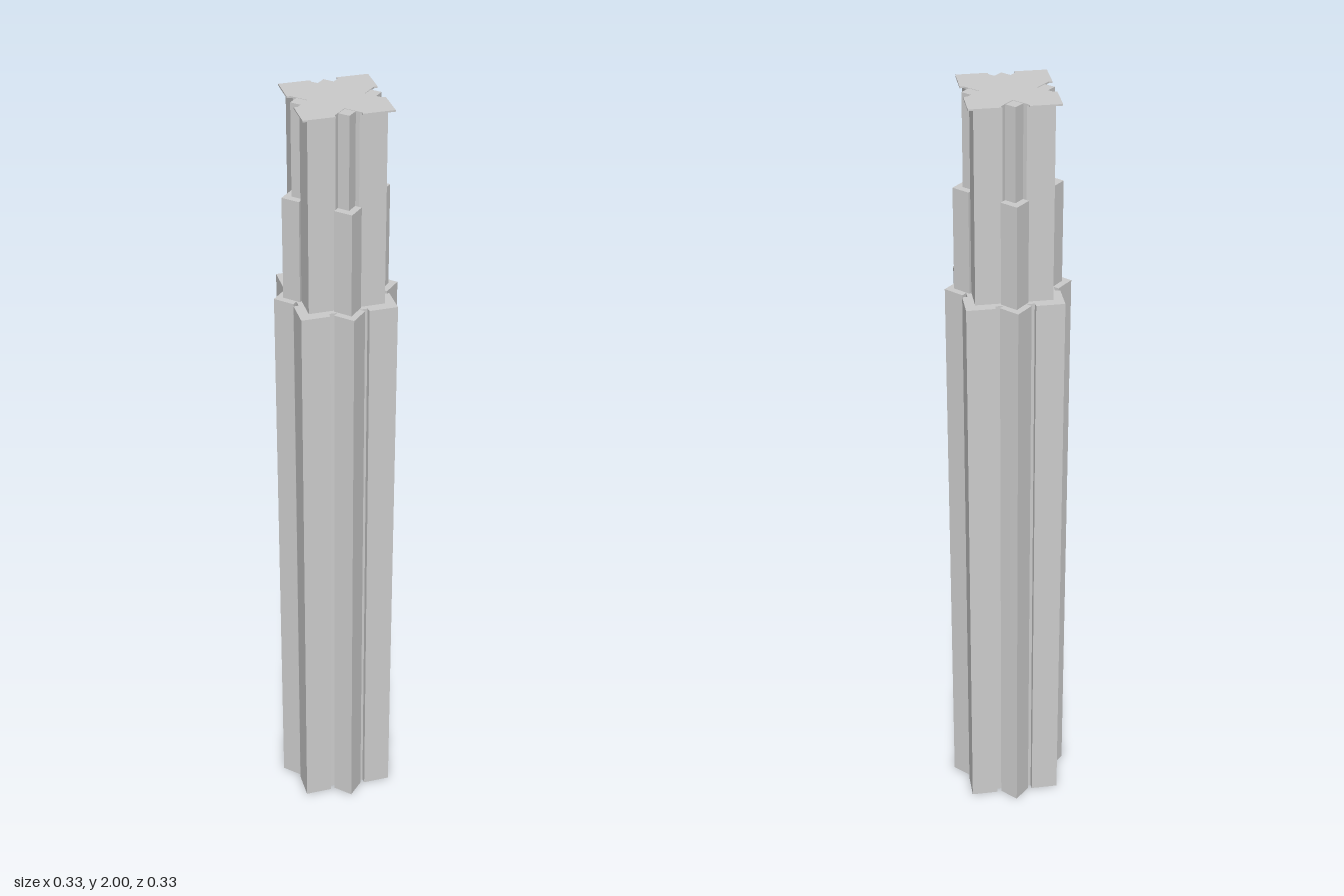
import * as THREE from 'three';

const material = new THREE.MeshStandardMaterial({ color: 0xcccccc, flatShading: true });

// Full four-fold outline from the points between the +x axis and the diagonal.
function starOutline(octant) {
  const mirrored = octant
    .filter(([a, b]) => b > 0 && Math.abs(a - b) > 1e-6)
    .map(([a, b]) => [b, a])
    .reverse();
  const quarter = [...octant, ...mirrored];
  const points = [];
  for (let i = 0; i < 4; i++) {
    const c = [1, 0, -1, 0][i], s = [0, 1, 0, -1][i];
    for (const [a, b] of quarter) points.push(new THREE.Vector2(a * c - b * s, a * s + b * c));
  }
  return new THREE.Shape(points);
}

// Upright prism between two heights.
function prism(name, octant, bottom, top) {
  const geometry = new THREE.ExtrudeGeometry(starOutline(octant), { depth: top - bottom, bevelEnabled: false });
  geometry.rotateX(-Math.PI / 2);
  geometry.translate(0, bottom, 0);
  const mesh = new THREE.Mesh(geometry, material);
  mesh.name = name;
  return mesh;
}

export function createModel() {
  const group = new THREE.Group();
  group.name = 'tower';

  // Main shaft: four pointed piers and four square corner piers
  group.add(prism('mainShaft', [
    [0.166, 0], [0.117, 0.049], [0.107, 0.041], [0.094, 0.055], [0.108, 0.055], [0.108, 0.108],
  ], 0, 1.51));

  // Upper shaft: pointed piers with slim corners rising to the top
  group.add(prism('upperShaft', [
    [0.131, 0], [0.085, 0.046], [0.075, 0.046], [0.075, 0.075],
  ], 1.51, 2));

  // Corner setbacks that stop part way up
  for (const x of [-1, 1]) {
    for (const z of [-1, 1]) {
      const corner = new THREE.Mesh(new THREE.BoxGeometry(0.046, 0.26, 0.046), material);
      corner.position.set(x * 0.069, 1.64, z * 0.069);
      corner.name = 'cornerSetback';
      group.add(corner);
    }
  }

  // Thin overhanging star roof
  group.add(prism('roof', [
    [0.15, 0], [0.097, 0.053], [0.091, 0.047], [0.047, 0.047],
  ], 1.997, 2.001));

  return group;
}
